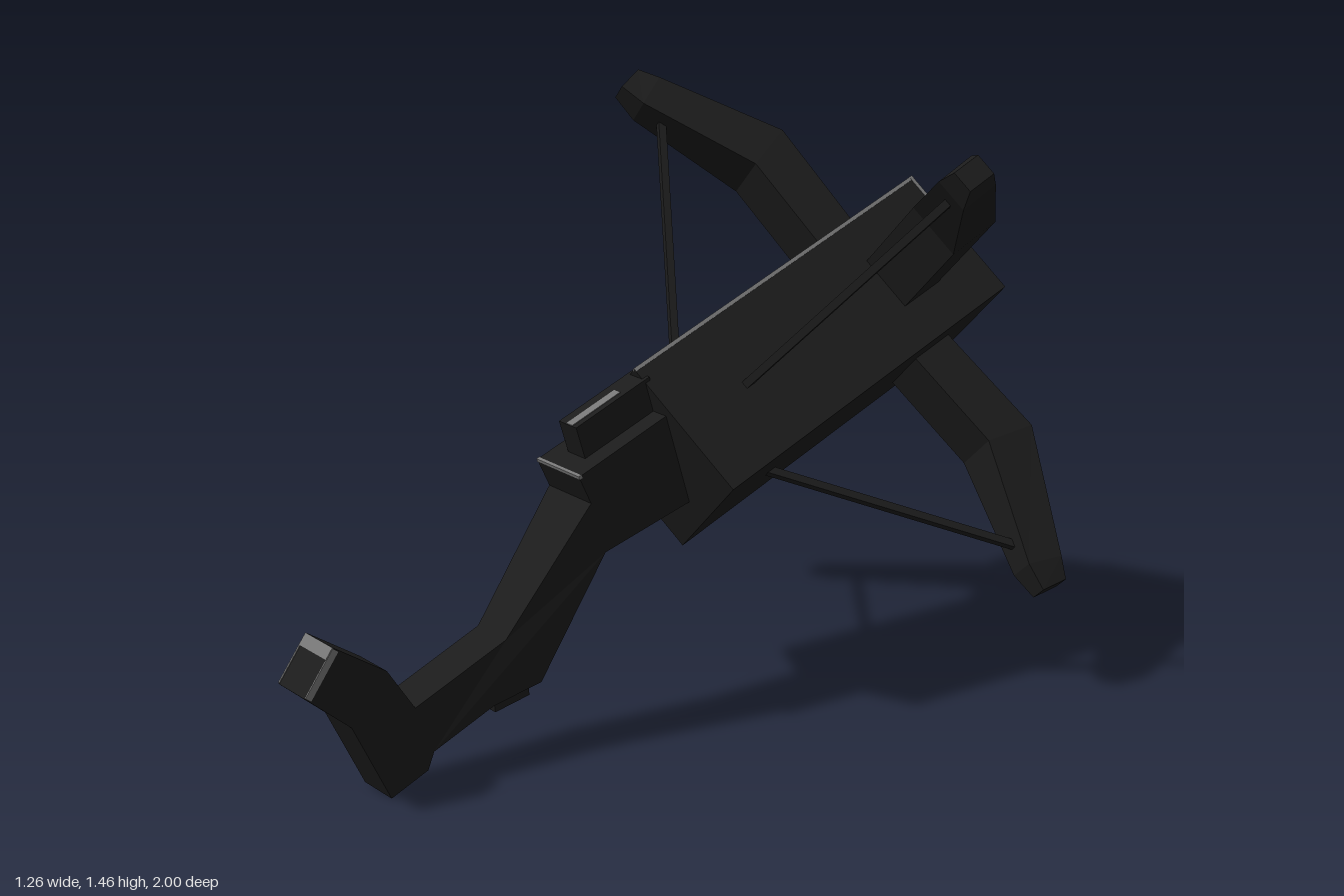
import * as THREE from 'three';

const BODY_SIDE = 0.358, BODY_LENGTH = 0.958;
const RIDGE = BODY_SIDE * Math.SQRT1_2; // height of the body's top edge above its axis

// Limb cross-sections from root to tip: [back radius, back z, front radius, front z, half width]
const LIMB = [
  [0.15, -0.81, 0.15, -0.69, 0.072],
  [0.48, -0.828, 0.445, -0.7, 0.072],
  [0.77, -0.667, 0.735, -0.58, 0.042],
  [0.82, -0.643, 0.805, -0.573, 0.027],
];

// Stock outline as [z, y] in the plane of the body axis
const STOCK = [
  [-0.02, 0.146], [0.273, 0.148], [0.262, 0.068], [0.563, -0.127], [0.831, -0.13],
  [0.865, 0], [0.963, 0.134], [1.065, 0.066], [0.989, -0.07], [0.96, -0.296],
  [0.853, -0.295], [0.824, -0.262], [0.647, -0.261], [0.512, -0.285],
  [0.262, -0.07], [-0.02, -0.1],
];

function limbGeometry() {
  const geo = new THREE.BoxGeometry(1, 1, 1, 1, LIMB.length - 1, 1);
  const p = geo.attributes.position;
  for (let i = 0; i < p.count; i++) {
    const row = Math.round((p.getY(i) + 0.5) * (LIMB.length - 1));
    const [rb, zb, rf, zf, half] = LIMB[row];
    const front = p.getZ(i) > 0;
    p.setXYZ(i, Math.sign(p.getX(i)) * half, front ? rf : rb, front ? zf : zb);
  }
  geo.computeVertexNormals();
  return geo;
}

function stockGeometry() {
  const shape = new THREE.Shape(STOCK.map(([z, y]) => new THREE.Vector2(z, y)));
  const geo = new THREE.ExtrudeGeometry(shape, { depth: 2, bevelEnabled: false });
  geo.translate(0, 0, -1);
  geo.rotateY(-Math.PI / 2); // outline x becomes z
  const p = geo.attributes.position;
  for (let i = 0; i < p.count; i++) {
    const t = THREE.MathUtils.smoothstep(p.getZ(i), 0.26, 0.6);
    p.setX(i, Math.sign(p.getX(i)) * THREE.MathUtils.lerp(0.074, 0.05, t) - 0.007 * t);
  }
  geo.computeVertexNormals();
  return geo;
}

export function createModel() {
  const black = new THREE.MeshStandardMaterial({ color: 0x1c1c1c, flatShading: true });
  black.name = 'matte black';
  const grey = new THREE.MeshStandardMaterial({ color: 0x777777, flatShading: true });
  grey.name = 'worn edge grey';

  const model = new THREE.Group();
  model.name = 'fourLimbedCrossbow';
  const weapon = new THREE.Group();
  weapon.name = 'tiltedWeapon';
  model.add(weapon);

  const add = (parent, name, geo, material = black) => {
    const mesh = new THREE.Mesh(geo, material);
    mesh.name = name;
    parent.add(mesh);
    return mesh;
  };
  const addBox = (parent, name, size, position, material) => {
    const mesh = add(parent, name, new THREE.BoxGeometry(...size), material);
    mesh.position.set(...position);
    return mesh;
  };

  // Square body standing on its edge
  const body = addBox(weapon, 'body', [BODY_SIDE, BODY_SIDE, BODY_LENGTH], [0, 0, -BODY_LENGTH / 2]);
  body.rotation.z = Math.PI / 4;

  // Worn edges of the body: the top ridge and the rear top corner
  const h = BODY_SIDE / 2 - 0.003, back = -BODY_LENGTH / 2 + 0.003;
  addBox(body, 'ridgeWear', [0.009, 0.009, BODY_LENGTH], [h, h, 0], grey);
  addBox(body, 'rearWearLeft', [0.009, 0.09, 0.009], [h, h - 0.04, back], grey);
  addBox(body, 'rearWearRight', [0.09, 0.009, 0.009], [h - 0.04, h, back], grey);

  // Bent stock with butt, trigger lump and narrow sight block
  add(weapon, 'stock', stockGeometry());
  const trigger = addBox(weapon, 'trigger', [0.06, 0.04, 0.1], [0, -0.28, 0.587]);
  trigger.rotation.x = -0.2;
  addBox(weapon, 'sightBlock', [0.06, 0.09, 0.23], [0, 0.187, 0.1]);

  // Worn edges of the sight, the stock's front lip and the butt
  addBox(weapon, 'sightWear', [0.022, 0.006, 0.15], [0.005, 0.231, 0.139], grey);
  addBox(weapon, 'stockLipWear', [0.149, 0.009, 0.009], [0, 0.1455, 0.2695], grey);
  const buttEnd = new THREE.Group();
  buttEnd.name = 'buttEndWear';
  buttEnd.position.set(-0.007, 0.1, 1.014);
  buttEnd.rotation.x = Math.atan2(0.068, 0.102);
  addBox(buttEnd, 'buttTopWear', [0.1, 0.006, 0.03], [0, 0, -0.046], grey);
  for (const s of [-1, 1]) {
    addBox(buttEnd, 'buttSideWear', [0.004, 0.018, 0.118], [s * 0.0495, -0.007, 0], grey);
  }
  weapon.add(buttEnd);

  // Four limbs, each with its string running back to the body face
  const limbGeo = limbGeometry();
  const from = new THREE.Vector3(0, 0.685, -0.615), to = new THREE.Vector3(0, RIDGE * 0.67, -0.205);
  const dir = to.clone().sub(from);
  const stringGeo = new THREE.BoxGeometry(0.019, dir.length(), 0.019);
  for (let k = 0; k < 4; k++) {
    const arm = new THREE.Group();
    arm.name = 'bowArm' + (k + 1);
    arm.rotation.z = Math.PI / 4 + k * Math.PI / 2;
    add(arm, 'limb', limbGeo);
    const string = add(arm, 'string', stringGeo);
    string.position.copy(from).add(to).multiplyScalar(0.5);
    string.quaternion.setFromUnitVectors(new THREE.Vector3(0, 1, 0), dir.clone().normalize());
    weapon.add(arm);
  }

  // Resting pose: muzzle raised, slightly turned and rolled
  const zAxis = new THREE.Vector3(-0.06, -0.35, 0.89).normalize();
  const yAxis = zAxis.clone().cross(new THREE.Vector3(0.505, -0.04, 0.02)).normalize();
  const xAxis = yAxis.clone().cross(zAxis);
  weapon.quaternion.setFromRotationMatrix(new THREE.Matrix4().makeBasis(xAxis, yAxis, zAxis));
  weapon.position.set(-0.037, 0.63, -0.02);
  return model;
}
